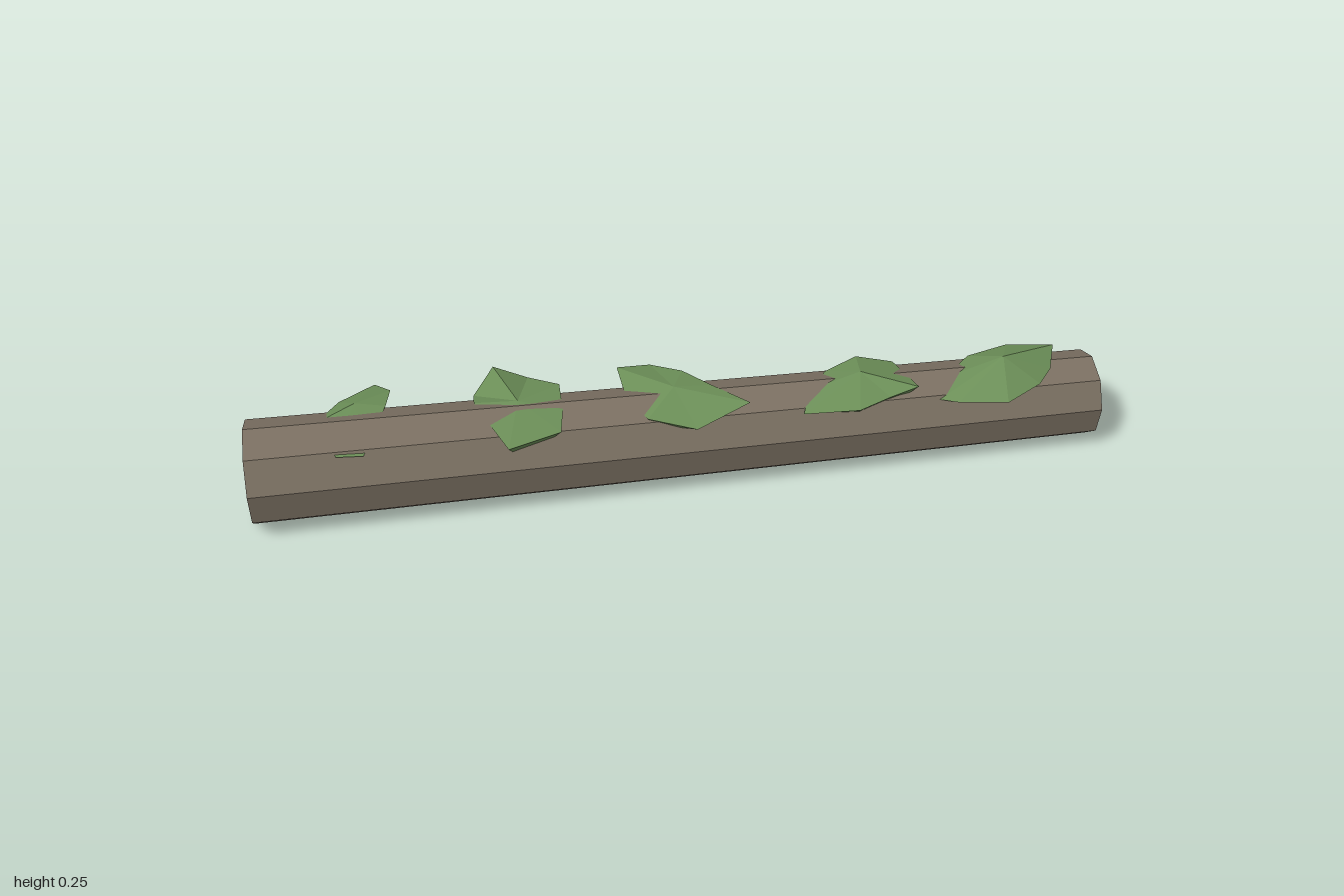
import * as THREE from 'three';

const bark = new THREE.MeshStandardMaterial({ color: 0x7b7062, flatShading: true });
bark.name = 'bark brown';
const moss = new THREE.MeshStandardMaterial({ color: 0x6c8f58, flatShading: true });
moss.name = 'moss green';

// Faceted clump: a rim of [x, z, y] points, a peak above and a smaller ring beneath
function mossClump(rim, peak, base = 0.168) {
  const top = [peak[0], peak[2], peak[1]];
  const upper = rim.map(([x, z, y]) => [x, y, z]);
  const lower = rim.map(([x, z]) => [
    top[0] + (x - top[0]) * 0.68, base, top[2] + (z - top[2]) * 0.68]);
  const bottom = [top[0], base - 0.01, top[2]];
  const pos = [];
  const tri = (...points) => points.forEach((p) => pos.push(...p));
  upper.forEach((a, i) => {
    const j = (i + 1) % rim.length;
    tri(top, upper[j], a);
    tri(a, upper[j], lower[j]);
    tri(a, lower[j], lower[i]);
    tri(bottom, lower[i], lower[j]);
  });
  const geometry = new THREE.BufferGeometry();
  geometry.setAttribute('position', new THREE.Float32BufferAttribute(pos, 3));
  geometry.computeVertexNormals();
  return new THREE.Mesh(geometry, moss);
}

// Rims run left, back, right, front
const clumps = [
  { rim: [[-0.84, 0.02, 0.222], [-0.79, -0.09, 0.2], [-0.71, -0.17, 0.186], [-0.67, -0.1, 0.215],
    [-0.68, -0.03, 0.222], [-0.73, 0.125, 0.2], [-0.79, 0.125, 0.203]], peak: [-0.75, -0.04, 0.229] },
  { rim: [[-0.48, -0.02, 0.217], [-0.48, -0.08, 0.195], [-0.43, -0.16, 0.218], [-0.35, -0.145, 0.19],
    [-0.28, -0.07, 0.216], [-0.28, 0.04, 0.222], [-0.29, 0.12, 0.218], [-0.41, 0.165, 0.215],
    [-0.45, 0.06, 0.215]], peak: [-0.38, 0.0, 0.228] },
  { rim: [[-0.13, -0.01, 0.205], [-0.14, -0.12, 0.216], [-0.06, -0.137, 0.205], [0.01, -0.08, 0.22],
    [0.07, -0.01, 0.222], [0.15, 0.06, 0.214], [0.02, 0.115, 0.19], [-0.09, 0.08, 0.205]],
  peak: [-0.02, 0.0, 0.233] },
  { rim: [[0.27, 0.09, 0.19], [0.3, 0.01, 0.2], [0.35, -0.06, 0.2], [0.43, -0.09, 0.215],
    [0.52, -0.085, 0.195], [0.55, 0.05, 0.213], [0.48, 0.065, 0.2], [0.4, 0.1, 0.195]],
  peak: [0.42, 0.0, 0.234] },
  { rim: [[0.6, 0.06, 0.178], [0.63, -0.01, 0.19], [0.7, -0.07, 0.205], [0.8, -0.09, 0.215],
    [0.91, -0.07, 0.218], [0.88, 0.01, 0.205], [0.84, 0.06, 0.2], [0.75, 0.11, 0.19],
    [0.64, 0.08, 0.18]], peak: [0.76, 0.01, 0.252] },
];

export function createModel() {
  const model = new THREE.Group();
  model.name = 'mossyLog';

  // Tapered nine-sided log, lying along x and turned slightly, with a ridge at the top
  const logGeometry = new THREE.CylinderGeometry(0.122, 0.104, 1.991, 9, 1, false, Math.PI / 2);
  logGeometry.rotateZ(Math.PI / 2 - 0.0096).rotateY(0.0367).translate(0, 0.1095, 0.008);
  const log = new THREE.Mesh(logGeometry, bark);
  log.name = 'log';
  model.add(log);

  // Moss clumps along the top
  const mossGroup = new THREE.Group();
  mossGroup.name = 'moss';
  clumps.forEach(({ rim, peak }, i) => {
    const clump = mossClump(rim, peak);
    clump.name = `mossClump${i + 1}`;
    mossGroup.add(clump);
  });
  model.add(mossGroup);
  return model;
}
